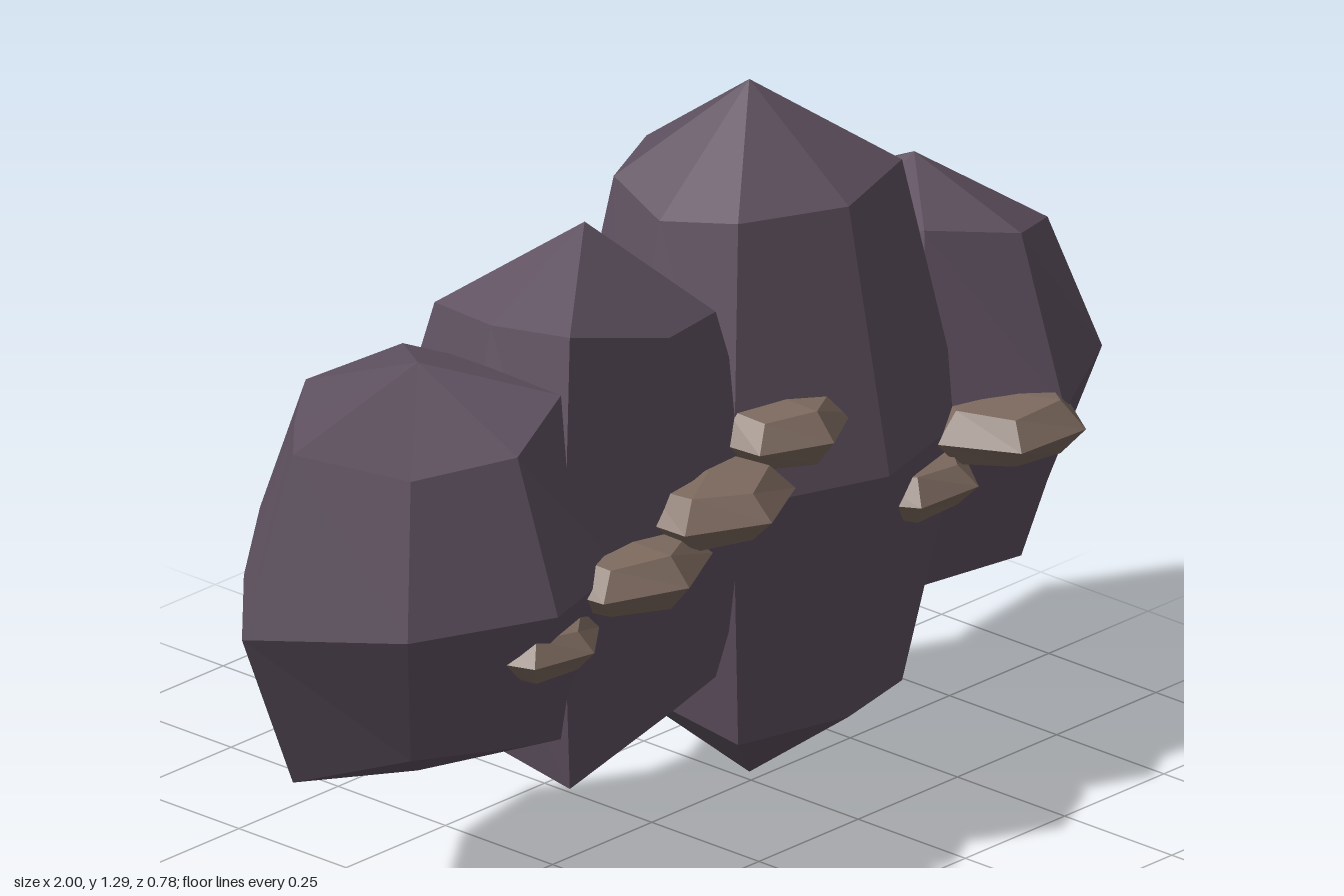
import * as THREE from 'three';

const MID = 0.65; // height of every boulder's waist

// Faceted lump: waist polygon (x,z pairs running from +x through +z), a smaller ring
// above and mirrored below it, and a pole at each end.
function lump(cx, cy, cz, waist, rise, ringRise, ratio) {
  const n = waist.length, pos = [];
  const add = (...pts) => pts.forEach(p => pos.push(...p));
  const eq = waist.map(([x, z]) => [x, cy, z]);
  const ring = s => waist.map(([x, z], i) =>
    [cx + (x - cx) * ratio, cy + s * ringRise[i], cz + (z - cz) * ratio]);
  const up = ring(1), low = ring(-1);
  const top = [cx, cy + rise, cz], bottom = [cx, cy - rise, cz];
  for (let i = 0; i < n; i++) {
    const j = (i + 1) % n;
    add(top, up[j], up[i]);
    add(up[j], eq[j], eq[i], up[j], eq[i], up[i]);
    add(eq[j], low[j], low[i], eq[j], low[i], eq[i]);
    add(low[j], bottom, low[i]);
  }
  const g = new THREE.BufferGeometry();
  g.setAttribute('position', new THREE.Float32BufferAttribute(pos, 3));
  g.computeVertexNormals();
  return g;
}

export function createModel() {
  const model = new THREE.Group();
  model.name = 'rockCluster';
  const rock = new THREE.MeshStandardMaterial({ color: 0x5f5160, flatShading: true });
  rock.name = 'purpleRock';
  const shelf = new THREE.MeshStandardMaterial({ color: 0x7d6a5f, flatShading: true });
  shelf.name = 'brownShelf';

  const put = (name, geometry, material) => {
    const mesh = new THREE.Mesh(geometry, material);
    mesh.name = name;
    model.add(mesh);
  };

  // Boulders: waist corners and ring heights, from +x through +z
  const boulders = [
    { name: 'outerRightBoulder', x: -0.56, rise: 0.38,
      waist: [[-0.24, -0.03], [-0.33, 0.23], [-0.56, 0.3], [-0.82, 0.19],
        [-1, -0.03], [-0.79, -0.22], [-0.555, -0.4], [-0.33, -0.29]],
      rings: [0.3, 0.32, 0.27, 0.26, 0.305, 0.28, 0.27, 0.31] },
    { name: 'innerRightBoulder', x: -0.14, rise: 0.51,
      waist: [[0.13, -0.03], [0.08, 0.2], [-0.14, 0.25], [-0.47, 0.23],
        [-0.47, -0.03], [-0.41, -0.27], [-0.14, -0.3], [0.07, -0.245]],
      rings: [0.33, 0.34, 0.35, 0.42, 0.39, 0.37, 0.36, 0.35] },
    { name: 'tallBoulder', x: 0.275, rise: 0.645,
      waist: [[0.61, -0.03], [0.55, 0.22], [0.275, 0.3], [-0.01, 0.2],
        [-0.04, -0.03], [0.04, -0.255], [0.275, -0.365], [0.48, -0.285]],
      rings: [0.44, 0.485, 0.475, 0.485, 0.45, 0.47, 0.47, 0.455] },
    { name: 'outerLeftBoulder', x: 0.69, rise: 0.38,
      waist: [[1, -0.03], [0.94, 0.18], [0.69, 0.325], [0.47, 0.21],
        [0.38, -0.03], [0.47, -0.27], [0.69, -0.355], [0.925, -0.235]],
      rings: [0.225, 0.245, 0.3, 0.33, 0.27, 0.3, 0.27, 0.25] },
  ];
  for (const b of boulders) {
    put(b.name, lump(b.x, MID, -0.027, b.waist, b.rise, b.rings, 0.71), rock);
  }

  // Shelf growths stepping across the front: x, y, z, half width, half depth, half height, turn
  const shelves = [
    [-0.52, 0.565, 0.22, 0.12, 0.1, 0.045, 1.3],
    [-0.3, 0.635, 0.22, 0.16, 0.135, 0.055, 1.5],
    [-0.1, 0.7, 0.225, 0.155, 0.145, 0.055, 1.55],
    [0.11, 0.765, 0.19, 0.135, 0.125, 0.055, 1.5],
    [0.43, 0.565, 0.2, 0.13, 0.12, 0.047, 1.1],
    [0.61, 0.635, 0.25, 0.145, 0.15, 0.055, 1.1],
  ];
  shelves.forEach(([x, y, z, w, d, h, turn], k) => {
    const waist = [], rings = [];
    for (let i = 0; i < 6; i++) {
      const a = turn + (i * Math.PI) / 3;
      waist.push([x + Math.cos(a) * w * 1.06, z + Math.sin(a) * d]);
      rings.push(h * (0.78 + 0.12 * ((i + k) % 2)));
    }
    put('shelfGrowth' + (k + 1), lump(x, y, z, waist, h, rings, 0.7), shelf);
  });

  return model;
}
